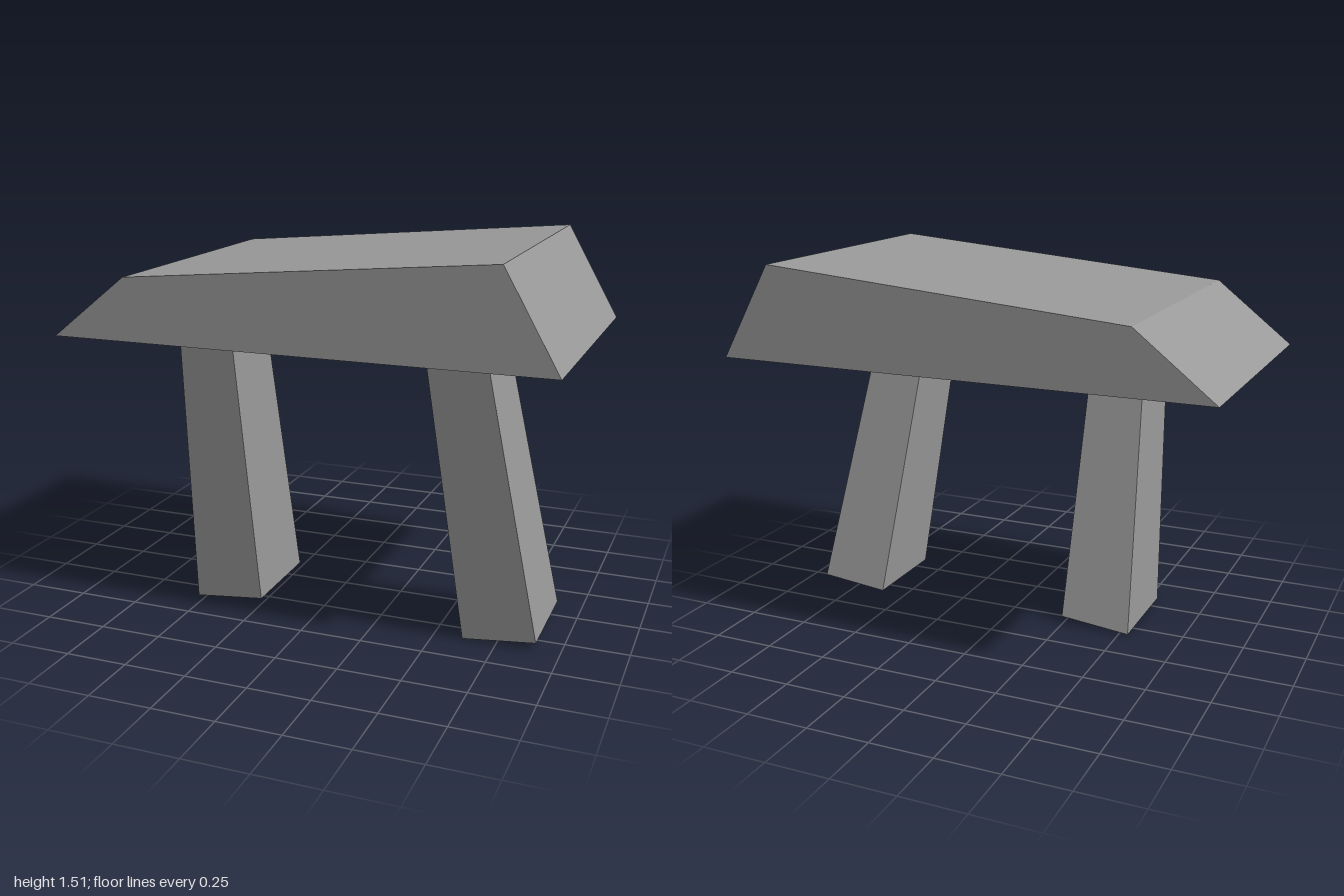
import * as THREE from 'three';

// Four corners of a ring, counter-clockwise from above; its left and right ends may differ in height
const ring = ([x0, y0], [x1, y1], zFront, zBack) => [
  [x0, y0, zFront], [x1, y1, zFront], [x1, y1, zBack], [x0, y0, zBack],
];

// Walls between two rings, open below, with an optional lid
function shell(name, bottom, top, material, lid = false) {
  const points = [];
  const quad = (a, b, c, d) => points.push(...a, ...b, ...c, ...a, ...c, ...d);
  for (let i = 0; i < 4; i++) {
    const j = (i + 1) % 4;
    quad(bottom[i], bottom[j], top[j], top[i]);
  }
  if (lid) quad(...top);
  const geometry = new THREE.BufferGeometry();
  geometry.setAttribute('position', new THREE.Float32BufferAttribute(points, 3));
  geometry.computeVertexNormals();
  const mesh = new THREE.Mesh(geometry, material);
  mesh.name = name;
  return mesh;
}

export function createModel() {
  const group = new THREE.Group();
  group.name = 'slantedBench';
  const grey = new THREE.MeshStandardMaterial({ color: 0x999999, side: THREE.DoubleSide });
  grey.name = 'grey';

  // Hollow slab with sloping ends and a tilted top
  group.add(shell('slab',
    ring([-1, 1.13], [1, 1.13], 0.58, -0.58),
    ring([-0.685, 1.38], [0.785, 1.51], 0.58, -0.58), grey, true));

  // Hollow leaning legs that run up inside the slab
  const legs = [
    ['rightLeg', [-0.535, 0], [-0.245, 0.03], [-0.492, 1.365], [-0.288, 1.4]],
    ['leftLeg', [0.615, 0], [0.905, 0.03], [0.463, 1.385], [0.675, 1.41]],
  ];
  for (const [name, b0, b1, t0, t1] of legs) {
    group.add(shell(name, ring(b0, b1, 0.34, -0.07), ring(t0, t1, 0.515, 0.215), grey));
  }
  return group;
}
